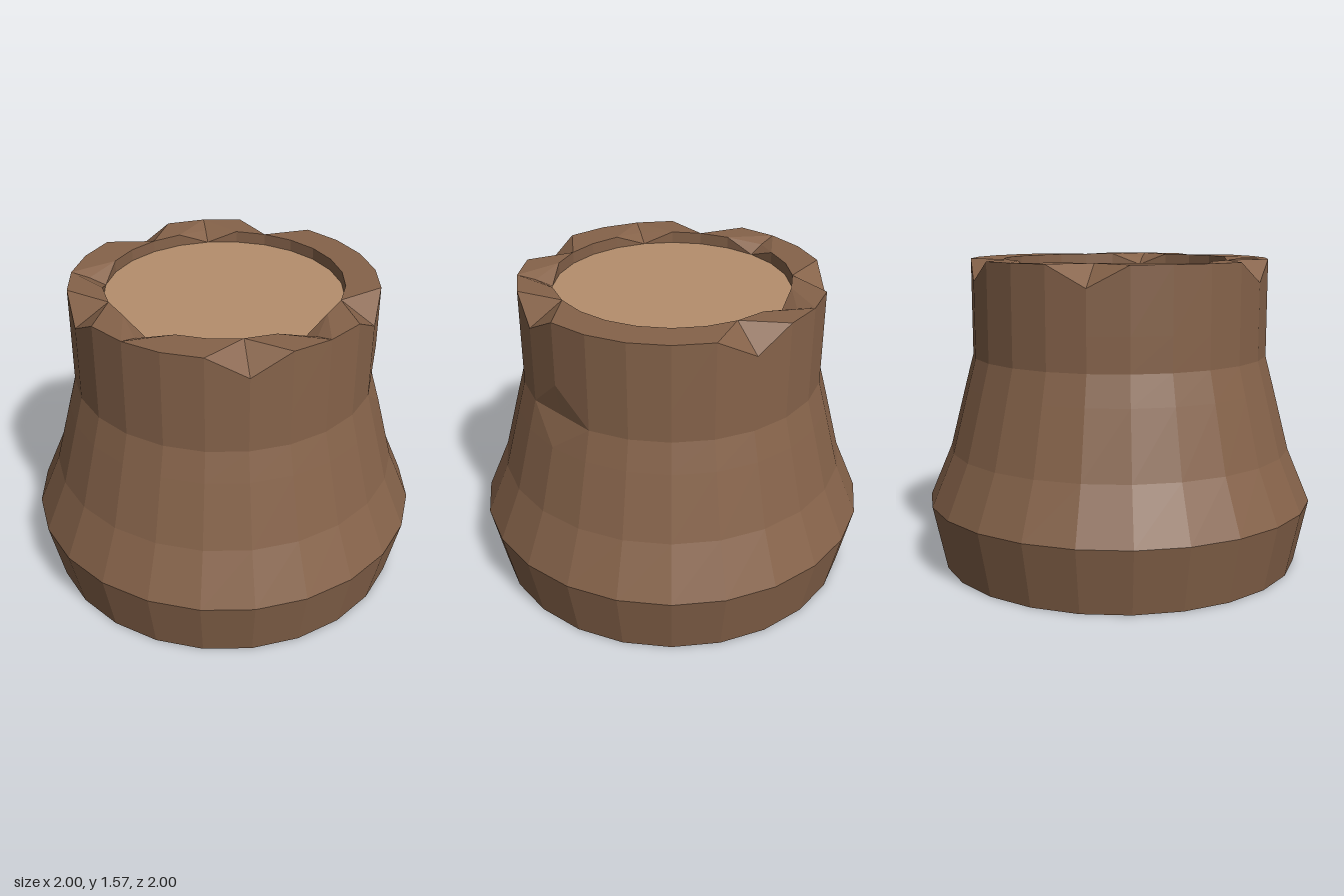
import * as THREE from 'three';

const SIDES = 24;

// Trunk outline as [radius, height], from the base centre up and over the rim
const PROFILE = [
  [0, 0], [0.93, 0], [1, 0.33], [0.885, 0.6], [0.8, 0.93], [0.76, 1.08],
  [0.76, 1.25], [0.76, 1.57], [0.59, 1.57], [0.59, 1.51],
];
const WAIST = 5, OUTER_RIM = 7, INNER_RIM = 8;

// Chips in the bark: row and side of the corner, with its new radius and height
const CHIPS = new Map();
const chip = (row, sides, radius, y) => sides.forEach((s) => CHIPS.set(`${row},${s}`, [radius, y]));
chip(OUTER_RIM, [3, 9, 13, 18, 23], 0.76, 1.465);
chip(INNER_RIM, [1, 11, 16, 20], 0.67, 1.545);
chip(WAIST, [4], 0.734, 1.08);

function corner(row, side) {
  const s = side % SIDES;
  const [r, y] = CHIPS.get(`${row},${s}`) ?? PROFILE[row];
  const a = (s / SIDES) * Math.PI * 2;
  return [r * Math.sin(a), y, r * Math.cos(a)];
}

// Skin of flat facets; each diagonal is turned away from chipped corners
function barkGeometry() {
  const pos = [];
  const tri = (...corners) => corners.forEach((c) => pos.push(...c));
  for (let row = 0; row < PROFILE.length - 1; row++) {
    for (let s = 0; s < SIDES; s++) {
      const chipped = (r, k) => CHIPS.has(`${r},${k % SIDES}`);
      const a = corner(row, s), b = corner(row, s + 1);
      const c = corner(row + 1, s + 1), d = corner(row + 1, s);
      if (row === 0) tri(a, c, d);
      else if (chipped(row, s) || chipped(row + 1, s + 1)) {
        tri(a, b, d);
        tri(b, c, d);
      } else {
        tri(a, b, c);
        tri(a, c, d);
      }
    }
  }
  const geometry = new THREE.BufferGeometry();
  geometry.setAttribute('position', new THREE.Float32BufferAttribute(pos, 3));
  geometry.computeVertexNormals();
  return geometry;
}

export function createModel() {
  const group = new THREE.Group();
  group.name = 'treeStump';

  // Bark body with flared foot and chipped rim
  const bark = new THREE.Mesh(
    barkGeometry(),
    new THREE.MeshStandardMaterial({ color: 0x86634a, flatShading: true }),
  );
  bark.name = 'bark';
  group.add(bark);

  // Pale cut wood, sunk a little below the rim
  const cut = new THREE.Mesh(
    new THREE.CircleGeometry(0.59, SIDES).rotateX(-Math.PI / 2),
    new THREE.MeshStandardMaterial({ color: 0xb58e6c, flatShading: true }),
  );
  cut.name = 'cutWood';
  cut.position.y = 1.51;
  group.add(cut);

  return group;
}
